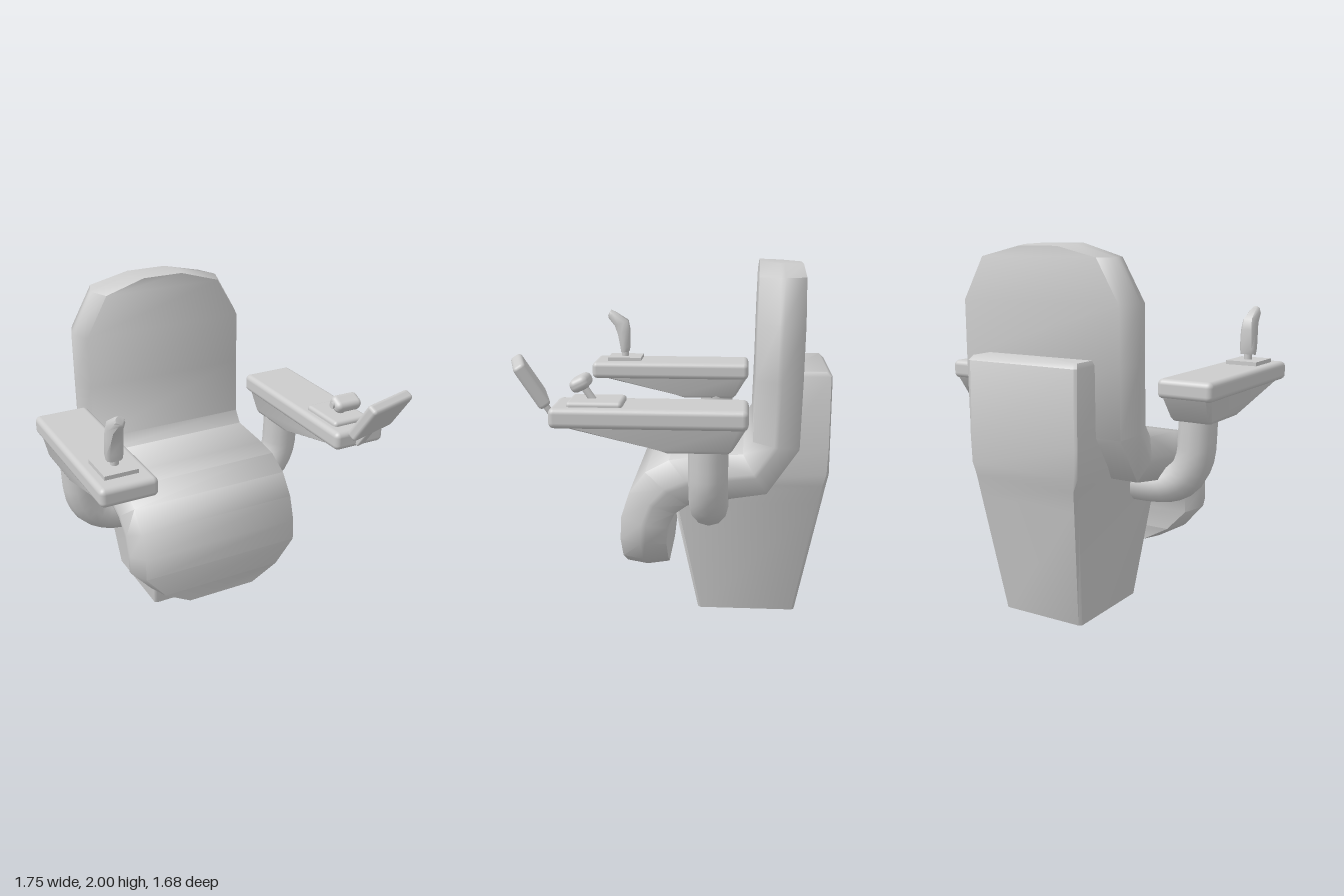
import * as THREE from 'three';
import { toCreasedNormals } from 'three/addons/utils/BufferGeometryUtils.js';
import { RoundedBoxGeometry } from 'three/addons/geometries/RoundedBoxGeometry.js';

const material = new THREE.MeshStandardMaterial({ color: 0xcccccc });

function part(name, geometry, parent, x = 0, y = 0, z = 0) {
  const mesh = new THREE.Mesh(geometry, material);
  mesh.name = name;
  mesh.position.set(x, y, z);
  parent.add(mesh);
  return mesh;
}

// Capped loft through chamfered slabs. Each station is
// [half width, outer z, outer y, inner z, inner y].
function slabLoft(stations, chamfer, k, crease) {
  const pos = [], index = [], n = 8;
  for (const [w, zo, yo, zi, yi] of stations) {
    const half = [[w - chamfer, 1], [w, 1 - k], [w, k], [w - chamfer, 0]];
    const ring = [...half, ...half.map(([x, t]) => [-x, t]).reverse()];
    for (const [x, t] of ring) pos.push(x, yi + (yo - yi) * t, zi + (zo - zi) * t);
  }
  const last = (stations.length - 1) * n;
  for (let r = 0; r < last; r += n) {
    for (let i = 0; i < n; i++) {
      const a = r + i, b = r + (i + 1) % n;
      index.push(a, b, b + n, a, b + n, a + n);
    }
  }
  for (let i = 1; i < n - 1; i++) {
    index.push(0, i + 1, i, last, last + i, last + i + 1);
  }
  const g = new THREE.BufferGeometry();
  g.setAttribute('position', new THREE.Float32BufferAttribute(pos, 3));
  g.setIndex(index);
  return toCreasedNormals(g, crease);
}

// Straight round bar between two points
function rod(name, from, to, radius, parent) {
  const a = new THREE.Vector3(...from), b = new THREE.Vector3(...to);
  const dir = b.clone().sub(a);
  const mesh = part(name, new THREE.CylinderGeometry(radius, radius, dir.length(), 10), parent);
  mesh.position.copy(a).add(b).multiplyScalar(0.5);
  mesh.quaternion.setFromUnitVectors(new THREE.Vector3(0, 1, 0), dir.normalize());
}

export function createModel() {
  const model = new THREE.Group();
  model.name = 'controlChair';
  const chair = new THREE.Group();
  chair.name = 'chair';
  chair.position.x = -0.035;
  model.add(chair);

  // Continuous cushion: leg rest, seat and backrest
  part('seatCushion', slabLoft([
    [0.255, 0.295, 0.27, 0.05, 0.27],
    [0.415, 0.30, 0.36, 0.045, 0.36],
    [0.53, 0.30, 0.50, 0.045, 0.48],
    [0.53, 0.295, 0.63, 0.04, 0.57],
    [0.53, 0.25, 0.77, 0, 0.655],
    [0.53, 0.16, 0.89, -0.07, 0.705],
    [0.53, 0.03, 0.96, -0.17, 0.73],
    [0.53, -0.10, 0.98, -0.28, 0.745],
    [0.53, -0.37, 1.0, -0.50, 0.78],
    [0.53, -0.42, 1.07, -0.67, 1.03],
    [0.53, -0.43, 1.40, -0.68, 1.40],
    [0.53, -0.435, 1.70, -0.685, 1.70],
    [0.40, -0.44, 1.93, -0.69, 1.93],
    [0.165, -0.445, 2.0, -0.685, 1.985],
  ], 0.045, 0.45, 1.25), chair);

  // Pedestal rising behind the backrest
  part('pedestal', slabLoft([
    [0.25, -0.12, 0, -0.68, 0],
    [0.315, 0.02, 0.67, -0.81, 0.67],
    [0.325, -0.10, 0.78, -0.831, 0.78],
    [0.337, -0.30, 0.85, -0.845, 0.85],
    [0.34, -0.55, 1.0, -0.845, 1.0],
    [0.34, -0.55, 1.40, -0.845, 1.40],
    [0.325, -0.56, 1.425, -0.82, 1.425],
  ], 0.015, 0.025, 0.8), chair);

  // Armrests with wedge underside and bent support tube
  const armX = 0.6875;
  for (const s of [-1, 1]) {
    const arm = new THREE.Group();
    arm.name = s > 0 ? 'leftArm' : 'rightArm';
    chair.add(arm);
    part('armPad', new RoundedBoxGeometry(0.315, 0.105, 1.005, 3, 0.03), arm, s * armX, 1.2625, 0.1075);
    part('armWedge', slabLoft([
      [0.11, 0.03, 1.085, -0.30, 1.085],
      [0.118, 0.07, 1.10, -0.315, 1.10],
      [0.138, 0.56, 1.22, -0.385, 1.22],
    ], 0.015, 0.04, 0.8), arm, s * armX);
    const path = new THREE.CatmullRomCurve3([
      [0.675, 1.13], [0.672, 1.0], [0.66, 0.87], [0.605, 0.765], [0.51, 0.71], [0.4, 0.695], [0.28, 0.695],
    ].map(([x, y]) => new THREE.Vector3(s * x, y, -0.19)));
    part('armSupport', new THREE.TubeGeometry(path, 14, 0.104, 12, false), arm);
  }

  // Joystick on the right arm
  const joystick = new THREE.Group();
  joystick.name = 'joystick';
  chair.add(joystick);
  part('joystickPlate', new THREE.BoxGeometry(0.185, 0.03, 0.215), joystick, -0.6925, 1.322, 0.4075);
  rod('joystickStem', [-armX, 1.325, 0.41], [-armX, 1.39, 0.41], 0.023, joystick);
  part('joystickGrip', slabLoft([
    [0.042, 0.435, 1.362, 0.385, 1.368],
    [0.048, 0.44, 1.40, 0.38, 1.40],
    [0.046, 0.455, 1.48, 0.38, 1.51],
    [0.040, 0.475, 1.535, 0.39, 1.57],
    [0.030, 0.517, 1.585, 0.475, 1.625],
    [0.022, 0.52, 1.60, 0.50, 1.637],
  ], 0.016, 0.3, 0.9), joystick, -armX);

  // Control knob on the left arm
  const control = new THREE.Group();
  control.name = 'controlKnob';
  chair.add(control);
  part('controlPlate', new RoundedBoxGeometry(0.225, 0.05, 0.285, 2, 0.02), control, armX, 1.316, 0.3825);
  rod('controlStem', [armX, 1.33, 0.40], [armX, 1.42, 0.46], 0.02, control);
  const knob = part('knob', new RoundedBoxGeometry(0.165, 0.07, 0.10, 3, 0.03), control, 0.68, 1.42, 0.462);
  knob.rotation.x = 0.45;
  rod('knobButton', [0.585, 1.42, 0.462], [0.62, 1.42, 0.462], 0.018, control);

  // Tilted display at the end of the left arm
  const display = new THREE.Group();
  display.name = 'display';
  chair.add(display);
  const screen = part('displayPanel', new RoundedBoxGeometry(0.335, 0.25, 0.065, 2, 0.02), display, 0.725, 1.433, 0.715);
  screen.rotation.set(0.56, 0.28, 0, 'YXZ');
  const bracket = part('displayBracket', new RoundedBoxGeometry(0.065, 0.14, 0.03, 1, 0.008), display, 0.70, 1.285, 0.635);
  bracket.rotation.set(0.56, 0.28, 0, 'YXZ');

  return model;
}
